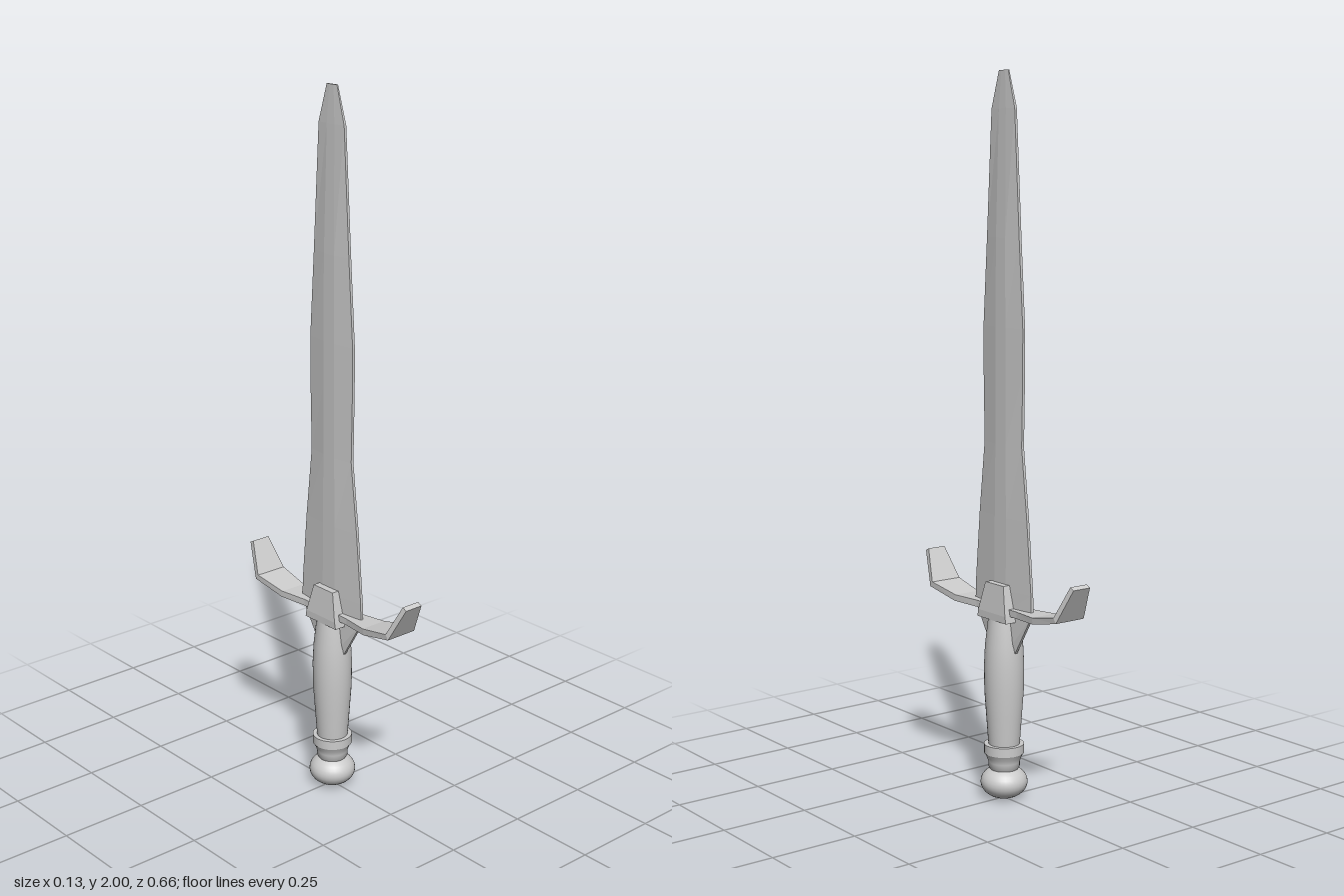
import * as THREE from 'three';

const flatMat = new THREE.MeshStandardMaterial({ color: 0xcccccc, flatShading: true });
const smoothMat = new THREE.MeshStandardMaterial({ color: 0xcccccc });

// Closed, faceted solid skinned over a list of equal-length rings of [x, y, z]
function loft(rings) {
  const pos = [];
  const tri = (a, b, c) => pos.push(...a, ...b, ...c);
  const n = rings[0].length;
  for (let r = 0; r < rings.length - 1; r++) {
    const a = rings[r], b = rings[r + 1];
    for (let i = 0; i < n; i++) {
      const j = (i + 1) % n;
      tri(a[i], b[i], a[j]);
      tri(a[j], b[i], b[j]);
    }
  }
  const first = rings[0], last = rings[rings.length - 1];
  for (let i = 1; i < n - 1; i++) {
    tri(first[0], first[i], first[i + 1]);
    tri(last[0], last[i + 1], last[i]);
  }
  const geo = new THREE.BufferGeometry();
  geo.setAttribute('position', new THREE.Float32BufferAttribute(pos, 3));
  geo.computeVertexNormals();
  return geo;
}

function add(parent, name, geo, mat) {
  const mesh = new THREE.Mesh(geo, mat);
  mesh.name = name;
  parent.add(mesh);
  return mesh;
}

function lathe(points) {
  return new THREE.LatheGeometry(points.map(([r, y]) => new THREE.Vector2(r, y)), 32);
}

export function createModel() {
  const model = new THREE.Group();
  model.name = 'dagger';

  // Blade: height, half width (z), half thickness (x), half width of the ridge
  const blade = [
    [0.41, 0.045, 0.013, 0.015],
    [0.54, 0.125, 0.014, 0.025],
    [0.60, 0.123, 0.014, 0.025],
    [0.80, 0.105, 0.013, 0.025],
    [1.00, 0.082, 0.013, 0.022],
    [1.20, 0.086, 0.013, 0.022],
    [1.32, 0.086, 0.013, 0.022],
    [1.56, 0.070, 0.012, 0.020],
    [1.90, 0.050, 0.006, 0.015],
    [2.00, 0.020, 0.003, 0.008],
  ];
  add(model, 'blade', loft(blade.map(([y, w, t, c]) => {
    const e = Math.min(0.004, t * 0.6);
    return [[t, y, -c], [t, y, c], [e, y, w], [-e, y, w],
      [-t, y, c], [-t, y, -c], [-e, y, -w], [e, y, -w]];
  })), flatMat);

  // Tapered block at the middle of the guard
  const block = [[0.515, 0.044, 0.064], [0.535, 0.044, 0.060], [0.615, 0.034, 0.040]];
  add(model, 'guardBlock', loft(block.map(([y, x, z]) =>
    [[x, y, -z], [x, y, z], [-x, y, z], [-x, y, -z]])), flatMat);

  // Guard arms: half width, upper [z, y], lower [z, y]
  const arm = [
    [0.026, [0.03, 0.552], [0.03, 0.533]],
    [0.027, [0.09, 0.552], [0.09, 0.533]],
    [0.040, [0.172, 0.554], [0.175, 0.536]],
    [0.048, [0.272, 0.574], [0.282, 0.560]],
    [0.028, [0.317, 0.662], [0.330, 0.655]],
  ];
  const armGeo = loft(arm.map(([w, [zu, yu], [zl, yl]]) =>
    [[w, yu, zu], [w, yl, zl], [-w, yl, zl], [-w, yu, zu]]));
  add(model, 'frontGuardArm', armGeo, flatMat);
  add(model, 'backGuardArm', armGeo, flatMat).rotation.y = Math.PI;

  // Swelling grip
  add(model, 'grip', lathe([
    [0.042, 0.14], [0.045, 0.17], [0.050, 0.24], [0.055, 0.31],
    [0.056, 0.38], [0.053, 0.44], [0.046, 0.50], [0.042, 0.53],
  ]), smoothMat);

  // Collar ring between grip and pommel
  add(model, 'collar', new THREE.CylinderGeometry(0.056, 0.056, 0.026, 32)).position.y = 0.144;
  model.getObjectByName('collar').material = smoothMat;
  add(model, 'neck', lathe([
    [0.030, 0.07], [0.044, 0.092], [0.044, 0.105], [0.048, 0.118], [0.055, 0.131],
  ]), smoothMat);

  // Flattened ball pommel
  const pommel = add(model, 'pommel', new THREE.SphereGeometry(1, 32, 16), smoothMat);
  pommel.scale.set(0.066, 0.047, 0.066);
  pommel.position.y = 0.047;

  return model;
}
